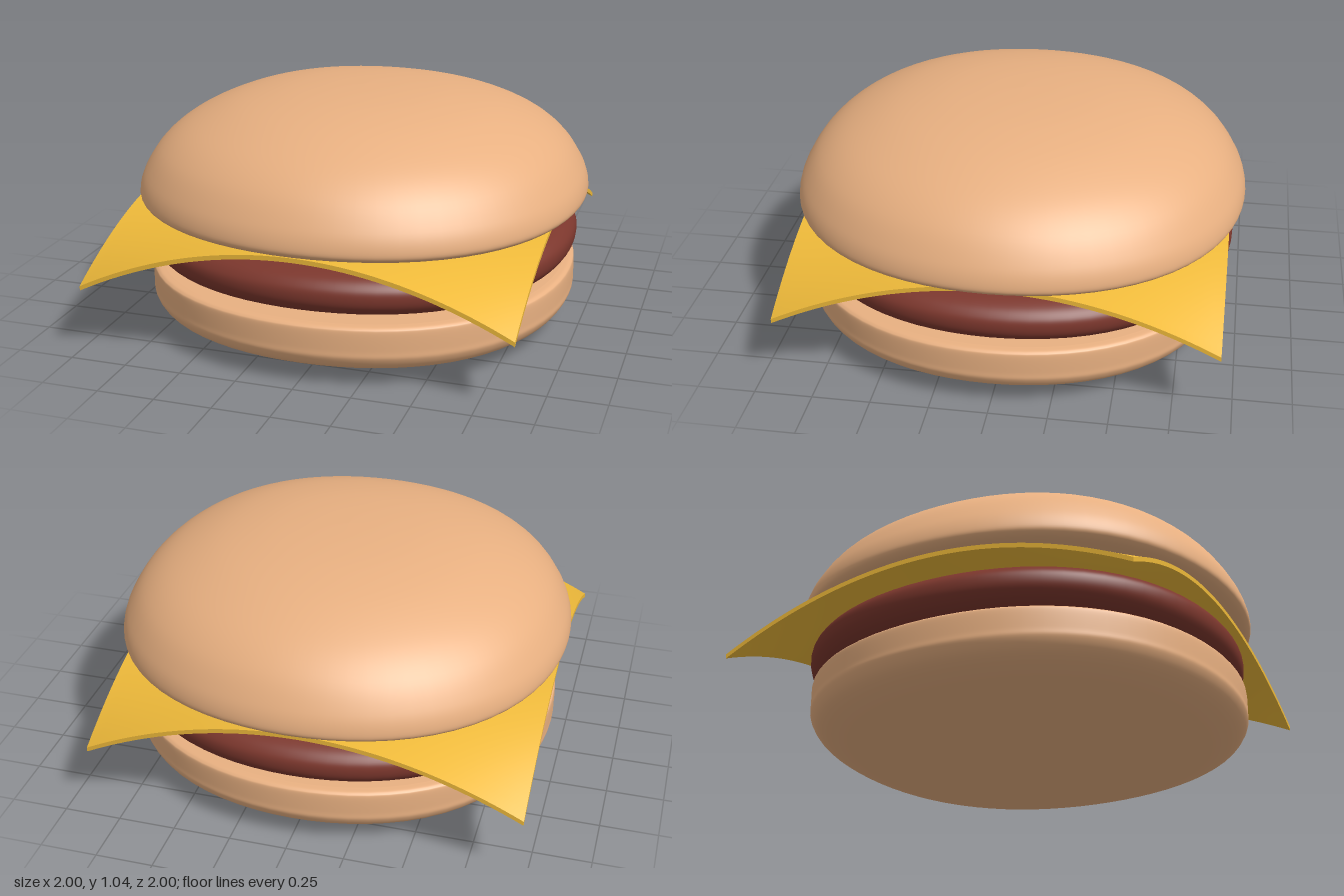
import * as THREE from 'three';

const material = (color) => new THREE.MeshStandardMaterial({ color });
const bread = material(0xe8b081);

// Round layer: a smooth curve through [radius, height] points, from the underside
// centre to the top centre, turned about the y axis and swelled a little on the
// diagonals so its outline is slightly squarish.
function roundLayer(name, profile, mat) {
  const swell = 0.027;
  const curve = new THREE.SplineCurve(profile.map(([r, y]) => new THREE.Vector2(r, y)));
  const points = curve.getPoints(72);
  points.forEach((p) => { p.x = Math.max(p.x, 0); });
  const geometry = new THREE.LatheGeometry(points, 72);
  const pos = geometry.attributes.position;
  for (let i = 0; i < pos.count; i++) {
    const x = pos.getX(i), z = pos.getZ(i);
    const k = 1 + swell * Math.sin(2 * Math.atan2(z, x)) ** 2;
    pos.setX(i, x * k);
    pos.setZ(i, z * k);
  }
  const mesh = new THREE.Mesh(geometry, mat);
  mesh.name = name;
  return mesh;
}

// Square slice whose four corners droop while the middles of its edges stay level.
function cheeseSlice() {
  const half = 0.938, droop = 0.24, thickness = 0.02;
  const geometry = new THREE.BoxGeometry(half * 2, thickness, half * 2, 40, 1, 40);
  const pos = geometry.attributes.position;
  for (let i = 0; i < pos.count; i++) {
    const u = pos.getX(i) / half, v = pos.getZ(i) / half;
    pos.setY(i, pos.getY(i) - droop * u * u * v * v);
  }
  geometry.computeVertexNormals();
  const mesh = new THREE.Mesh(geometry, material(0xefba3a));
  mesh.name = 'cheeseSlice';
  mesh.position.set(-0.039, 0.54, -0.003);
  return mesh;
}

export function createModel() {
  const burger = new THREE.Group();
  burger.name = 'burger';

  // Bottom bun: nearly flat base with a rounded edge, upright side, flat top
  const bottomBun = roundLayer('bottomBun', [
    [0, 0.004], [0.25, 0.006], [0.5, 0.014], [0.72, 0.034], [0.84, 0.058], [0.915, 0.093],
    [0.95, 0.14], [0.953, 0.18], [0.953, 0.255], [0.945, 0.274], [0.92, 0.281], [0.85, 0.282], [0.4, 0.282], [0, 0.282],
  ], bread);
  bottomBun.position.z = 0.01;
  burger.add(bottomBun);

  // Patty: flattened disc with a rounded rim
  burger.add(roundLayer('patty', [
    [0, 0.282], [0.4, 0.282], [0.65, 0.283], [0.8, 0.291], [0.9, 0.316], [0.945, 0.355], [0.957, 0.4],
    [0.945, 0.44], [0.9, 0.474], [0.8, 0.497], [0.6, 0.515], [0.35, 0.525], [0, 0.528],
  ], material(0x7c372d)));

  burger.add(cheeseSlice());

  // Top bun: full, domed crown over a flat underside
  burger.add(roundLayer('topBun', [
    [0, 0.555], [0.45, 0.555], [0.85, 0.556], [0.94, 0.561], [0.985, 0.576], [1, 0.61], [0.975, 0.69],
    [0.9, 0.8], [0.78, 0.892], [0.6, 0.969], [0.4, 1.014], [0.2, 1.034], [0, 1.04],
  ], bread));

  return burger;
}
